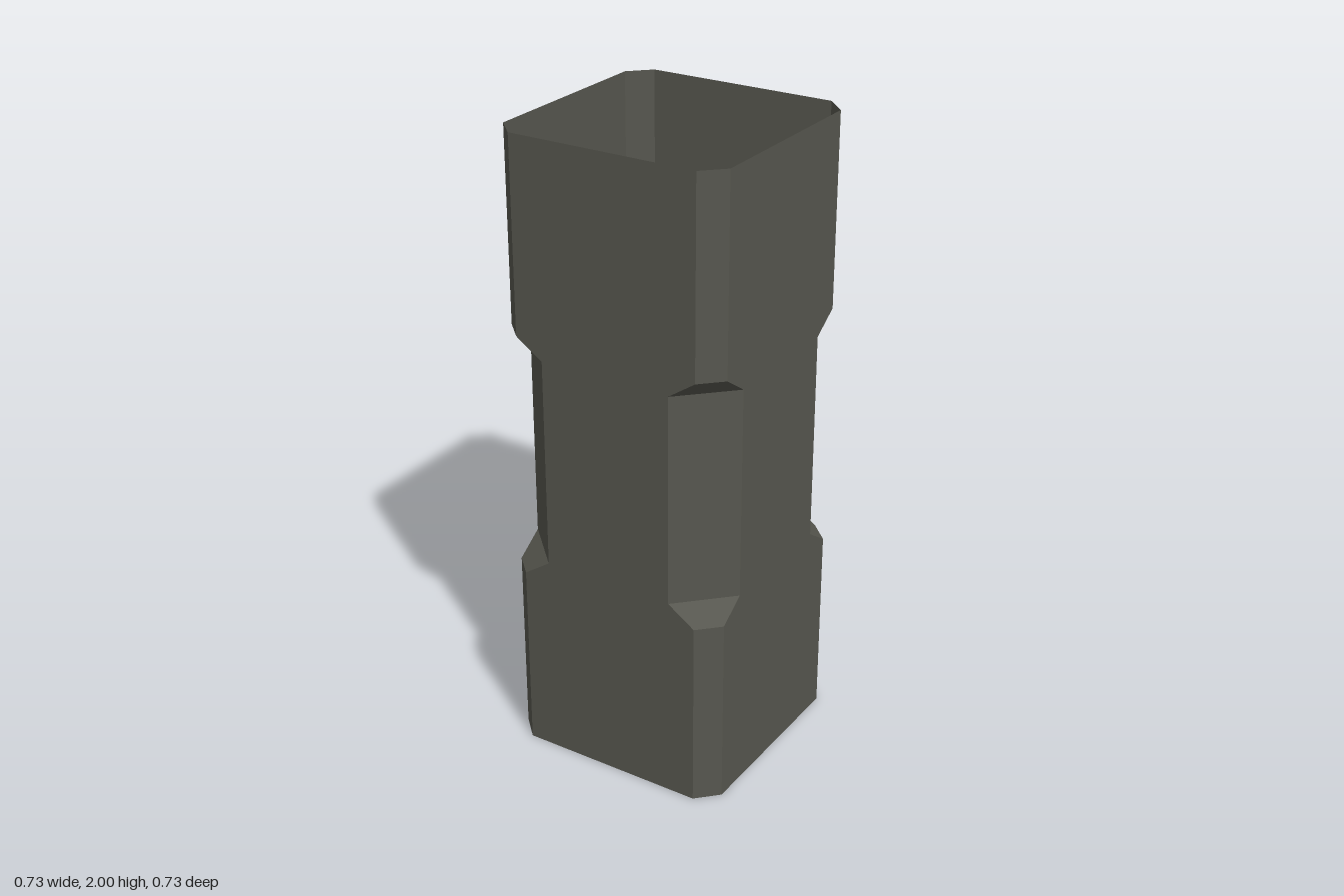
import * as THREE from 'three';

const HALF = 0.366;

// Square section with cut corners; c is where each corner cut begins
function section(c, y) {
  const h = HALF;
  return [[c, h], [h, c], [h, -c], [c, -h], [-c, -h], [-h, -c], [-h, c], [-c, h]]
    .map(([x, z]) => [x, y, z]);
}

// Skin of consecutive sections over the given sides (side i joins corner i to i + 1)
function skin(sections, sides) {
  const positions = [];
  for (let s = 0; s < sections.length - 1; s++) {
    for (const i of sides) {
      const j = (i + 1) % 8;
      const a = sections[s][i], b = sections[s][j];
      const c = sections[s + 1][j], d = sections[s + 1][i];
      positions.push(...a, ...b, ...c, ...a, ...c, ...d);
    }
  }
  const geometry = new THREE.BufferGeometry();
  geometry.setAttribute('position', new THREE.Float32BufferAttribute(positions, 3));
  geometry.computeVertexNormals();
  return geometry;
}

export function createModel() {
  const group = new THREE.Group();
  group.name = 'openSleeve';
  const darkMetal = new THREE.MeshStandardMaterial({
    color: 0x57574f, flatShading: true, side: THREE.DoubleSide,
  });
  darkMetal.name = 'darkMetal';

  // Narrow corner cuts at both ends, deep recesses around the middle
  const narrow = 0.302, deep = 0.214;
  const sections = [
    section(narrow, 0), section(narrow, 0.607), section(deep, 0.667),
    section(deep, 1.335), section(narrow, 1.395), section(narrow, 2),
  ];

  const parts = { walls: [1, 3, 5, 7], recessedCorners: [0, 2, 4, 6] };
  for (const [name, sides] of Object.entries(parts)) {
    const mesh = new THREE.Mesh(skin(sections, sides), darkMetal);
    mesh.name = name;
    group.add(mesh);
  }
  return group;
}
